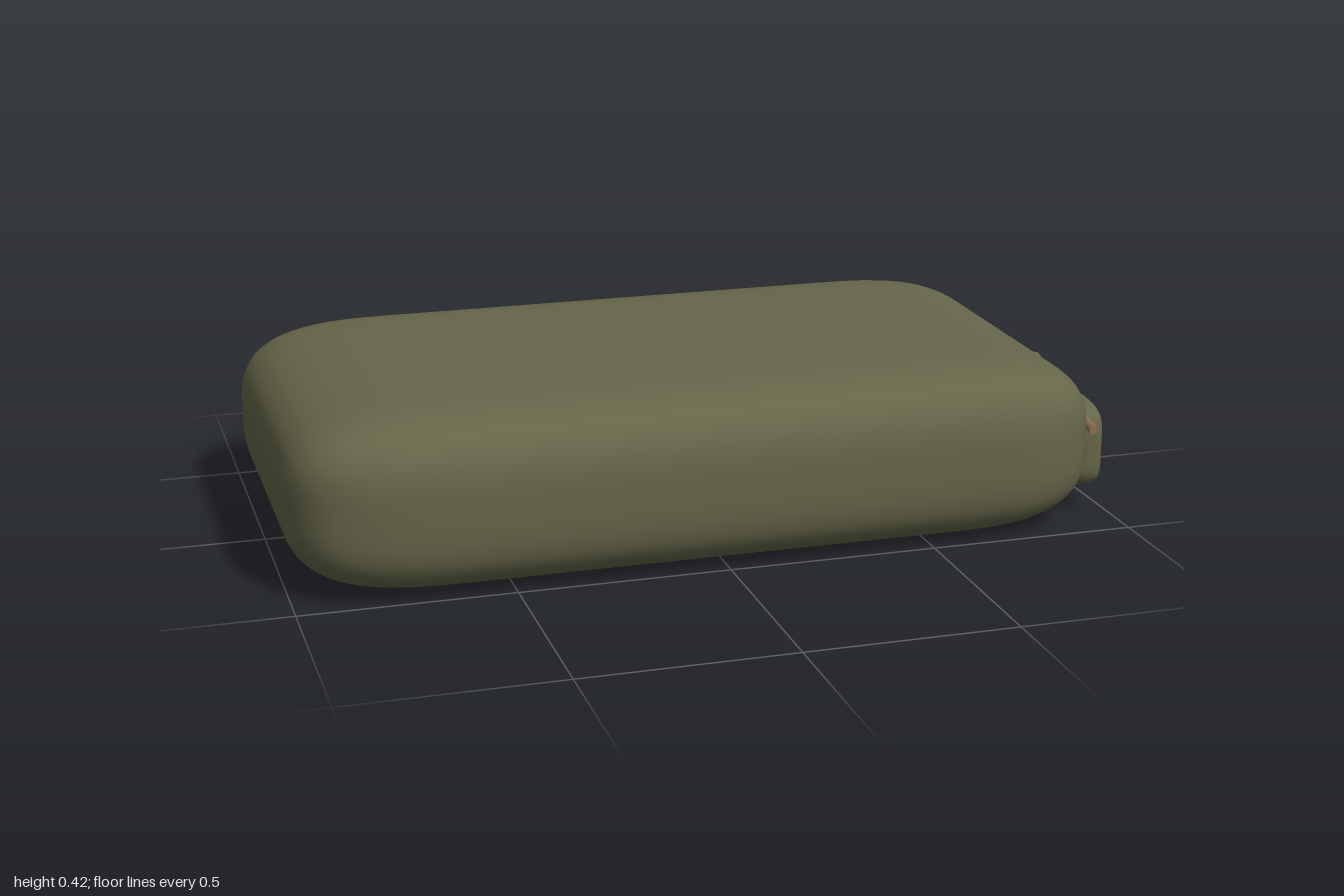
import * as THREE from 'three';
import { mergeVertices } from 'three/addons/utils/BufferGeometryUtils.js';

// Box with half sizes h, softened by superelliptic corners of radii r
function softBox(h, r, seg, power) {
  let g = new THREE.BoxGeometry(2, 2, 2, ...seg);
  g.deleteAttribute('uv');
  g.deleteAttribute('normal');
  g = mergeVertices(g);
  const p = g.attributes.position;
  for (let i = 0; i < p.count; i++) {
    const t = [p.getX(i), p.getY(i), p.getZ(i)];
    // pull grid lines towards the rounded edges
    const q = t.map((v, k) => h[k] * Math.sin(v * 1.2) / Math.sin(1.2));
    const core = q.map((v, k) => THREE.MathUtils.clamp(v, r[k] - h[k], h[k] - r[k]));
    const d = q.map((v, k) => (v - core[k]) / r[k]);
    const len = d.reduce((s, v) => s + Math.abs(v) ** power, 0) ** (1 / power);
    p.setXYZ(i, ...core.map((c, k) => c + d[k] / len * r[k]));
  }
  g.computeVertexNormals();
  return g;
}

export function createModel() {
  const model = new THREE.Group();
  const olive = new THREE.MeshStandardMaterial({ color: 0x66664a });
  olive.name = 'olive cloth';
  const tan = new THREE.MeshStandardMaterial({ color: 0x8b6f4e });
  tan.name = 'tan strap';

  const add = (name, geometry, material, x, y, z) => {
    const m = new THREE.Mesh(geometry, material);
    m.name = name;
    m.position.set(x, y, z);
    model.add(m);
  };

  // Padded main body
  add('body', softBox([0.965, 0.208, 0.546], [0.4, 0.19, 0.25], [32, 16, 24], 3),
    olive, -0.035, 0.211, 0);

  // Small padded pocket on the end
  add('pocket', softBox([0.05, 0.108, 0.381], [0.042, 0.075, 0.15], [10, 14, 24], 3),
    olive, 0.948, 0.162, 0);

  // Thin strap rising to a point in the middle
  const strap = new THREE.CurvePath();
  const pts = [[0.932, 0.23, 0.424], [0.938, 0.24, 0.34], [0.952, 0.265, 0.16], [0.968, 0.291, 0],
    [0.952, 0.265, -0.16], [0.938, 0.24, -0.34], [0.932, 0.23, -0.424]].map(a => new THREE.Vector3(...a));
  for (let i = 1; i < pts.length; i++) strap.add(new THREE.LineCurve3(pts[i - 1], pts[i]));
  add('strap', new THREE.TubeGeometry(strap, 24, 0.012, 6), tan, 0, 0, 0);

  // Strap end caps
  for (const s of [1, -1]) {
    const cap = new THREE.CircleGeometry(0.012, 6);
    if (s < 0) cap.rotateY(Math.PI);
    add('strapEnd', cap, tan, 0.932, 0.23, s * 0.424);
  }
  return model;
}
